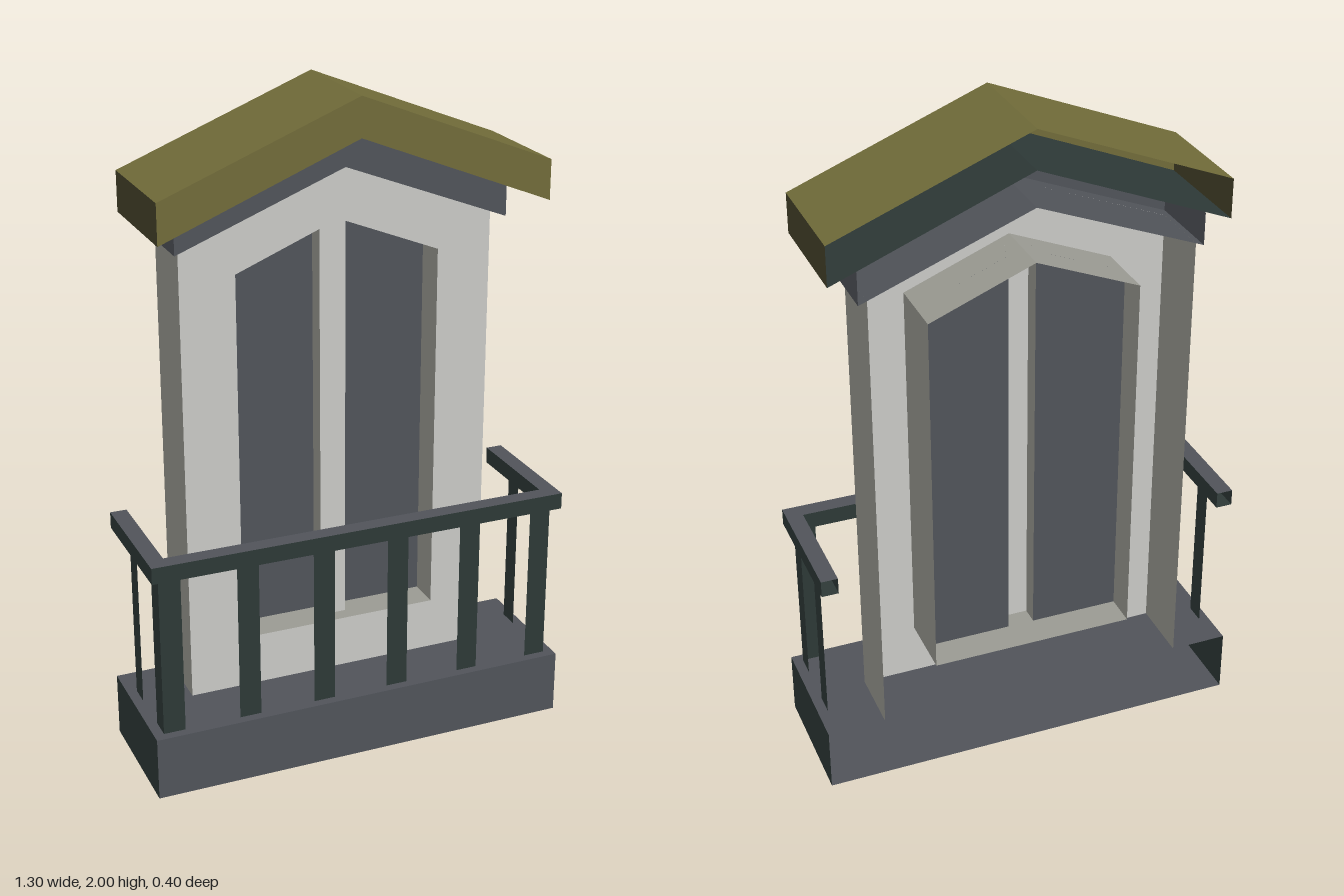
import * as THREE from 'three';

const material = (name, color) => {
  const m = new THREE.MeshStandardMaterial({ color, side: THREE.DoubleSide });
  m.name = name;
  return m;
};

export function createModel() {
  const wall = material('pale wall', 0xc8c8c5);
  const wallSide = material('shaded stone', 0x9a9a92);
  const slate = material('slate', 0x505359);
  const iron = material('dark green iron', 0x2d3836);
  const roofTop = material('olive roof', 0x706b39);
  const roofEnd = material('dark olive', 0x46442b);

  const model = new THREE.Group();
  model.name = 'balconyWindow';
  const BACK = -0.2;

  const add = (parent, name, geometry, mat) => {
    const mesh = new THREE.Mesh(geometry, mat);
    mesh.name = name;
    parent.add(mesh);
    return mesh;
  };
  const part = (name) => {
    const g = new THREE.Group();
    g.name = name;
    model.add(g);
    return g;
  };
  const vectors = (pts) => pts.map(([x, y]) => new THREE.Vector2(x, y));

  // Flat polygon facing the front, with an optional hole
  const face = (parent, name, mat, pts, z, hole) => {
    const shape = new THREE.Shape(vectors(pts));
    if (hole) shape.holes.push(new THREE.Path(vectors(hole)));
    add(parent, name, new THREE.ShapeGeometry(shape), mat).position.z = z;
  };
  // Open sheet: a path in x and y swept along z
  const sheet = (parent, name, mat, pts, z0, z1) => {
    const p = [];
    for (let i = 0; i + 1 < pts.length; i++) {
      const [a, b] = pts[i], [c, d] = pts[i + 1];
      p.push(a, b, z0, c, d, z0, c, d, z1, a, b, z0, c, d, z1, a, b, z1);
    }
    const g = new THREE.BufferGeometry();
    g.setAttribute('position', new THREE.Float32BufferAttribute(p, 3));
    g.computeVertexNormals();
    add(parent, name, g, mat);
  };
  const rect = (x0, x1, y0, y1) => [[x0, y0], [x1, y0], [x1, y1], [x0, y1]];
  const gable = (w, side, peak) => [[w, side], [0, peak], [-w, side]];

  // Balcony slab, open towards the building
  const base = part('balconySlab');
  face(base, 'slabFront', slate, rect(-0.65, 0.65, 0, 0.195), 0.2);
  for (const y of [0, 0.195]) {
    sheet(base, y ? 'slabTop' : 'slabBottom', slate, [[0.65, y], [-0.65, y]], BACK, 0.2);
  }
  for (const s of [1, -1]) {
    sheet(base, 'slabSide', iron, [[s * 0.65, 0], [s * 0.65, 0.195]], BACK, 0.2);
  }

  // Handrail
  const rail = part('handrail');
  const lo = 0.695, hi = 0.745;
  face(rail, 'railFront', iron, rect(-0.645, 0.645, lo, hi), 0.198);
  face(rail, 'railInner', iron, rect(-0.595, 0.595, lo, hi), 0.148);
  sheet(rail, 'railTop', slate, [[0.645, hi], [-0.645, hi]], 0.148, 0.198);
  sheet(rail, 'railBottom', iron, [[0.645, lo], [-0.645, lo]], 0.148, 0.198);
  for (const s of [1, -1]) {
    const o = s * 0.645, i = s * 0.595;
    sheet(rail, 'sideRailTop', slate, [[o, hi], [i, hi]], BACK, 0.148);
    sheet(rail, 'sideRail', iron, [[i, hi], [i, lo], [o, lo], [o, hi]], BACK, 0.148);
    sheet(rail, 'railCorner', iron, [[o, lo], [o, hi]], 0.148, 0.198);
  }

  // Flat balusters along the front and both sides
  const posts = part('balusters');
  for (let i = 0; i < 6; i++) {
    const x = -0.587 + i * 0.2348;
    face(posts, 'frontBaluster', iron, rect(x - 0.033, x + 0.033, 0.195, lo), 0.172);
  }
  for (const s of [1, -1]) {
    for (const z of [0.14, -0.06]) {
      sheet(posts, 'sideBaluster', iron, [[s * 0.62, 0.195], [s * 0.62, lo]], z - 0.032, z + 0.032);
    }
  }

  // Wall with a pointed window opening
  const house = part('wall');
  const opening = [[-0.31, 0.355], [0.31, 0.355], ...gable(0.31, 1.495, 1.62)];
  face(house, 'wallFront', wall,
    [[-0.475, 0.195], [0.475, 0.195], ...gable(0.475, 1.595, 1.78)], 0, opening);
  for (const s of [1, -1]) {
    sheet(house, 'wallSide', wallSide, [[s * 0.475, 0.195], [s * 0.475, 1.595]], BACK, 0);
  }

  // Window reveal, panes and central mullion
  const win = part('window');
  sheet(win, 'windowReveal', wallSide, [...opening, opening[0]], BACK, 0);
  for (const s of [1, -1]) {
    face(win, 'windowPane', slate,
      [[s * 0.04, 0.355], [s * 0.31, 0.355], [s * 0.31, 1.495], [s * 0.04, 1.604]], -0.1);
    sheet(win, 'mullionSide', wallSide, [[s * 0.04, 0.355], [s * 0.04, 1.604]], -0.1, -0.045);
  }
  face(win, 'mullionFront', wall,
    [[-0.04, 0.355], [0.04, 0.355], ...gable(0.04, 1.604, 1.62)], -0.045);

  // Cornice under the roof
  const cornice = part('cornice');
  const under = gable(0.5, 1.585, 1.78);
  face(cornice, 'corniceFront', slate, [...under, ...gable(0.5, 1.682, 1.885).reverse()], 0.05);
  sheet(cornice, 'corniceUnderside', slate, under, BACK, 0.05);
  for (const s of [1, -1]) {
    sheet(cornice, 'corniceEnd', slate, [[s * 0.5, 1.585], [s * 0.5, 1.682]], BACK, 0.05);
  }

  // Gabled roof, open towards the building
  const roof = part('roof');
  const top = gable(0.58, 1.77, 2), bottom = gable(0.58, 1.652, 1.885);
  face(roof, 'roofFront', roofTop, [...top, ...[...bottom].reverse()], 0.16);
  sheet(roof, 'roofSlopes', roofTop, top, BACK, 0.16);
  sheet(roof, 'roofUnderside', iron, bottom, BACK, 0.16);
  for (const s of [1, -1]) {
    sheet(roof, 'roofEnd', roofEnd, [[s * 0.58, 1.652], [s * 0.58, 1.77]], BACK, 0.16);
  }

  return model;
}
